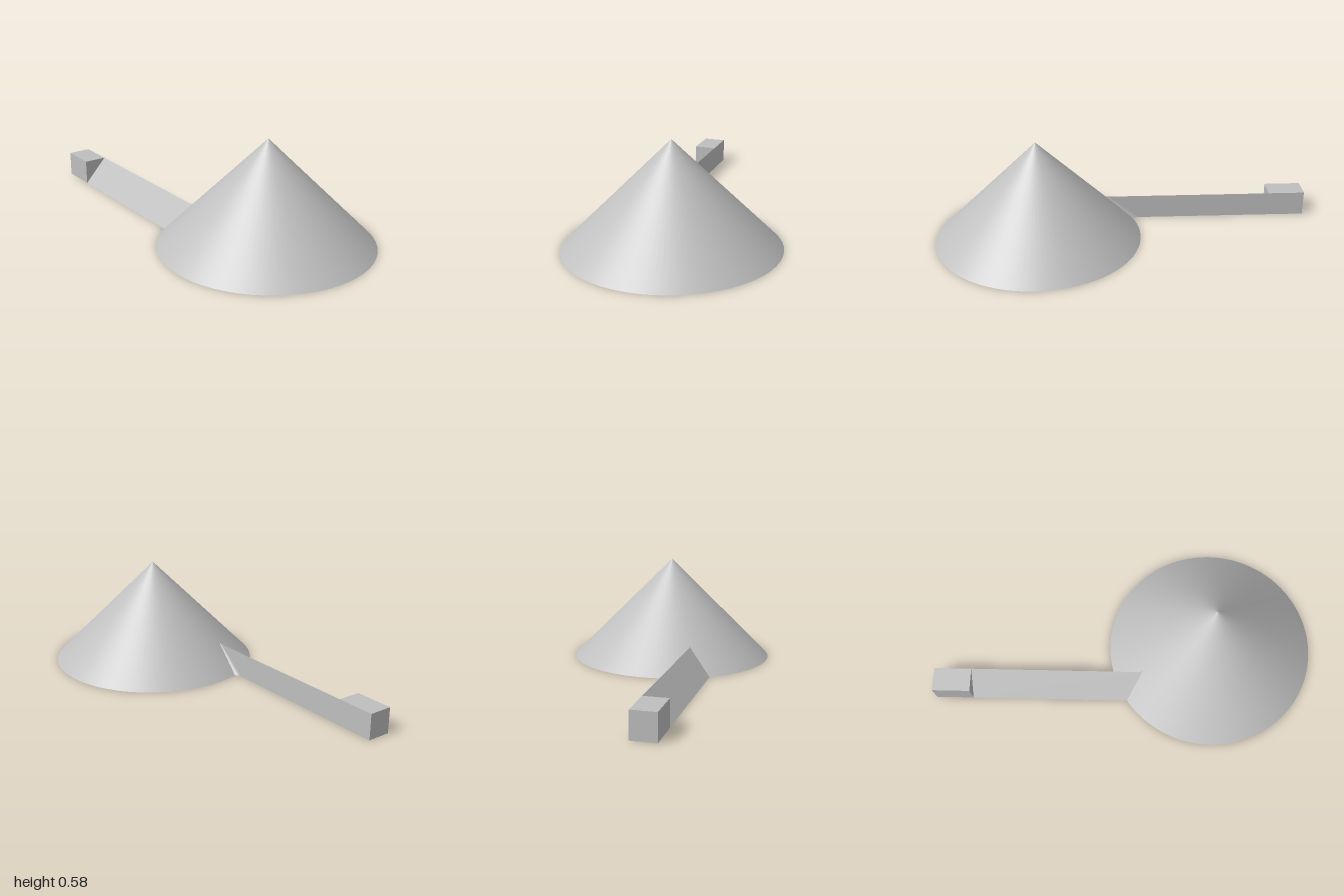
import * as THREE from 'three';
import { mergeGeometries } from 'three/addons/utils/BufferGeometryUtils.js';

const R = 0.58;        // cone radius and height (45 degree sides)
const INNER = 0.54;    // radius and height of the hollow
const W = 0.13, H = 0.14; // handle width and height

export function createModel() {
  const model = new THREE.Group();
  const grey = new THREE.MeshStandardMaterial({ color: 0xbfbfbf });
  grey.name = 'grey';

  const add = (parent, name, geometry) => {
    const mesh = new THREE.Mesh(geometry, grey);
    mesh.name = name;
    parent.add(mesh);
    return mesh;
  };

  // Hollow cone: inner wall, rim and outer wall, turned separately to keep the edges sharp
  const profile = [[0, INNER], [INNER, 0], [R, 0], [0, R]].map(p => new THREE.Vector2(...p));
  const walls = [0, 1, 2].map(i => new THREE.LatheGeometry([profile[i], profile[i + 1]], 96));
  add(model, 'coneShell', mergeGeometries(walls)).position.set(0.12, 0, 0.418);

  // Handle frame: local z runs towards the cone, local x across the handle
  const handle = new THREE.Group();
  handle.name = 'handle';
  handle.position.set(-0.63, 0, -0.76);
  handle.rotation.y = 0.326;
  model.add(handle);

  // Square end block
  const block = add(handle, 'endBlock', new THREE.BoxGeometry(W, H, 0.21));
  block.position.set(W / 2, H / 2, -0.105);

  // Distance along the handle where it enters the cone wall, at offset x and cone radius r
  const meet = (x, r) => 1.355 - Math.sqrt(r * r - (x - 0.334) ** 2);

  // Wedge arm: a sloped top, a vertical side that flares into the cone, and a flat base
  const fillet = 0.05, bend = Math.PI / 3, steps = 8;
  const xEnd = W + fillet * (1 - Math.cos(bend));
  const slope = H / W;
  const sections = [[[0, 0, 0], [W, 0, 0], [W, H, 0]]];
  for (let k = 0; k <= steps; k++) {
    const a = bend * k / steps;
    const x = W + fillet * (1 - Math.cos(a));
    const back = fillet * (Math.sin(bend) - Math.sin(a));
    const y = slope * x;
    sections.push([
      [0, 0, meet(0, R - 0.01)],
      [x, 0, meet(xEnd, R - 0.01) - back],
      [x, y, meet(xEnd, R - 0.01 - slope * xEnd) - back],
    ]);
  }
  const positions = [];
  for (let k = 0; k < sections.length - 1; k++) {
    const s = sections[k], t = sections[k + 1];
    for (let i = 0; i < 3; i++) {
      const j = (i + 1) % 3;
      positions.push(...s[i], ...s[j], ...t[i], ...s[j], ...t[j], ...t[i]);
    }
  }
  const arm = new THREE.BufferGeometry();
  arm.setAttribute('position', new THREE.Float32BufferAttribute(positions, 3));
  arm.computeVertexNormals();
  add(handle, 'wedgeArm', arm);

  return model;
}
